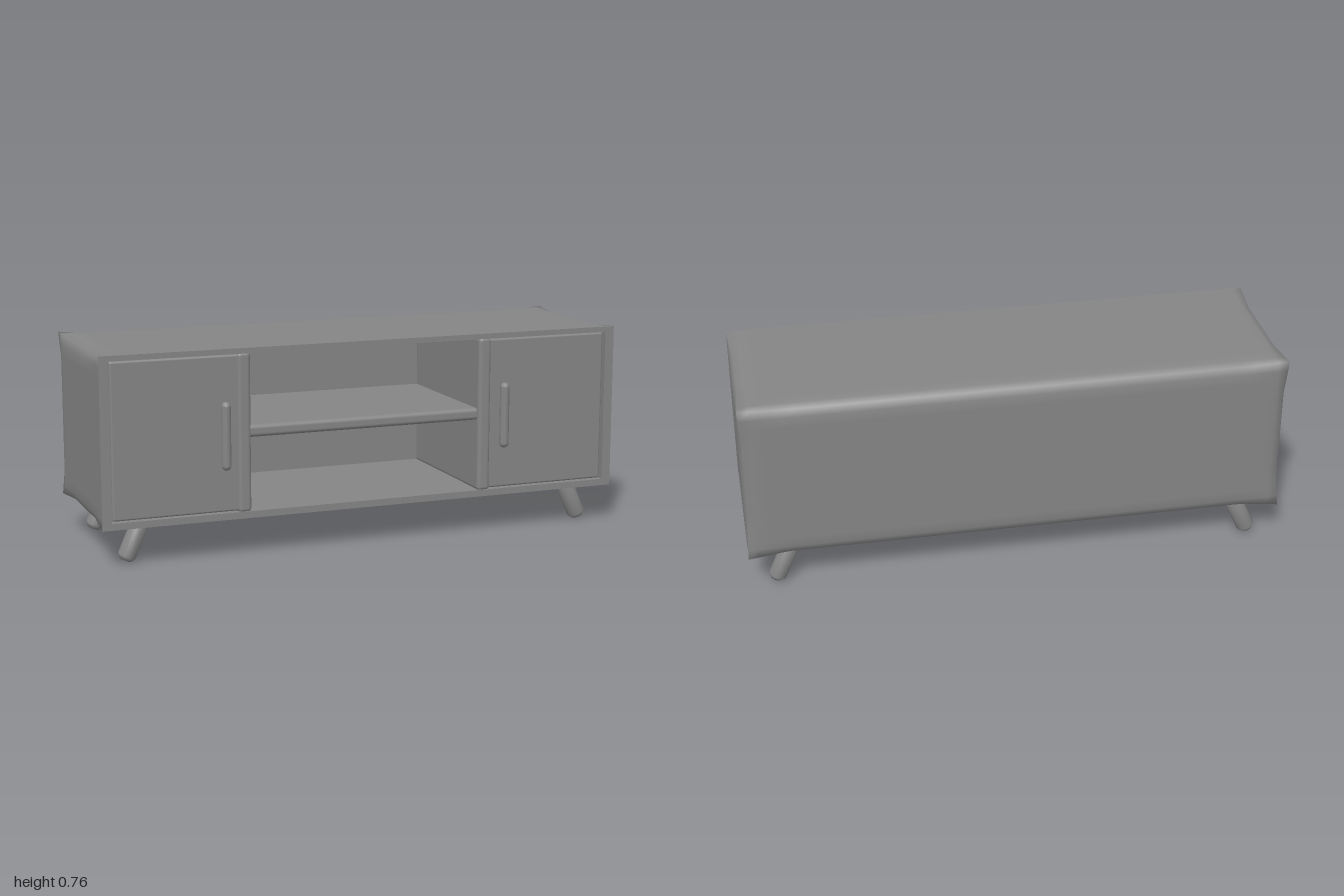
import * as THREE from 'three';
import { RoundedBoxGeometry } from 'three/addons/geometries/RoundedBoxGeometry.js';
import { mergeVertices } from 'three/addons/utils/BufferGeometryUtils.js';

const material = new THREE.MeshStandardMaterial({ color: 0x858585 });

// Outer box without a front: soft edges that sharpen towards the corners
function shellGeometry(width, height, depth) {
  const half = new THREE.Vector3(width / 2, height / 2, depth / 2);
  const box = new THREE.BoxGeometry(width, height, depth, 50, 16, 16);
  const { start, count } = box.groups[4];
  const index = Array.from(box.index.array);
  index.splice(start, count);
  box.setIndex(index);
  box.clearGroups();
  box.deleteAttribute('normal');
  box.deleteAttribute('uv');

  const geometry = mergeVertices(box);
  const position = geometry.attributes.position;
  const p = new THREE.Vector3(), core = new THREE.Vector3(), corner = new THREE.Vector3();
  for (let i = 0; i < position.count; i++) {
    p.fromBufferAttribute(position, i);
    corner.set(half.x - Math.abs(p.x), half.y - Math.abs(p.y), half.z - Math.abs(p.z));
    const r = 0.04 * Math.min(1, corner.length() / 0.15);
    core.set(
      THREE.MathUtils.clamp(p.x, r - half.x, half.x - r),
      THREE.MathUtils.clamp(p.y, r - half.y, half.y - r),
      Math.max(p.z, r - half.z),
    );
    p.sub(core).clampLength(0, r).add(core);
    position.setXYZ(i, p.x, p.y, p.z);
  }
  geometry.computeVertexNormals();
  return geometry;
}

// Rectangular frame around the opening, its outside drawn in by inset
function frameGeometry(inset, depth) {
  const rectangle = (x, y0, y1) => [[-x, y0], [x, y0], [x, y1], [-x, y1]].map(([a, b]) => new THREE.Vector2(a, b));
  const shape = new THREE.Shape(rectangle(1 - inset, 0.14 + inset, 0.757 - inset));
  shape.holes.push(new THREE.Path(rectangle(0.965, 0.165, 0.737).reverse()));
  return new THREE.ExtrudeGeometry(shape, { depth, bevelEnabled: false });
}

export function createModel() {
  const model = new THREE.Group();
  model.name = 'mediaCabinet';

  const add = (name, geometry, x = 0, y = 0, z = 0) => {
    const mesh = new THREE.Mesh(geometry, material);
    mesh.name = name;
    mesh.position.set(x, y, z);
    model.add(mesh);
    return mesh;
  };
  // Softened box given by its limits on each axis
  const addBox = (name, [x0, x1], [y0, y1], [z0, z1], r) => add(
    name, new RoundedBoxGeometry(x1 - x0, y1 - y0, z1 - z0, 3, r),
    (x0 + x1) / 2, (y0 + y1) / 2, (z0 + z1) / 2,
  );

  // Carcass: outer shell, front rim, inner lining and back panel
  add('shell', shellGeometry(2, 0.617, 0.617), 0, 0.4485, -0.0065);
  add('frontRim', frameGeometry(0, 0.007), 0, 0, 0.295);
  add('lining', frameGeometry(0.012, 0.585), 0, 0, -0.29);
  addBox('backPanel', [-0.97, 0.97], [0.16, 0.742], [-0.305, -0.285], 0.002);

  // Open compartment with one shelf
  addBox('shelf', [-0.46, 0.45], [0.43, 0.475], [-0.29, 0.287], 0.015);

  // Chamfered leg profile, from the foot upwards
  const legProfile = [[0, 0], [0.022, 0], [0.034, 0.016], [0.034, 0.16], [0, 0.16]]
    .map(([r, y]) => new THREE.Vector2(r, y));

  for (const [side, s] of [['left', 1], ['right', -1]]) {
    const dividerX = s > 0 ? 0.465 : -0.475;
    addBox(side + 'Divider', [dividerX - 0.025, dividerX + 0.025], [0.16, 0.742], [-0.29, 0.3], 0.015);

    // Inset door and its upright pull
    const doorX = [s * 0.48, s * 0.96].sort((a, b) => a - b);
    addBox(side + 'Door', doorX, [0.168, 0.734], [0.25, 0.292], 0.008);
    add(side + 'Handle', new THREE.CapsuleGeometry(0.018, 0.212, 4, 10), s * 0.545, 0.445, 0.301);

    // Splayed legs
    for (const [end, z] of [['Front', 0.226], ['Back', -0.257]]) {
      const leg = add(side + end + 'Leg', new THREE.LatheGeometry(legProfile, 12), s * 0.903, 0.01, z);
      leg.rotation.z = s * 0.42;
    }
  }
  return model;
}
